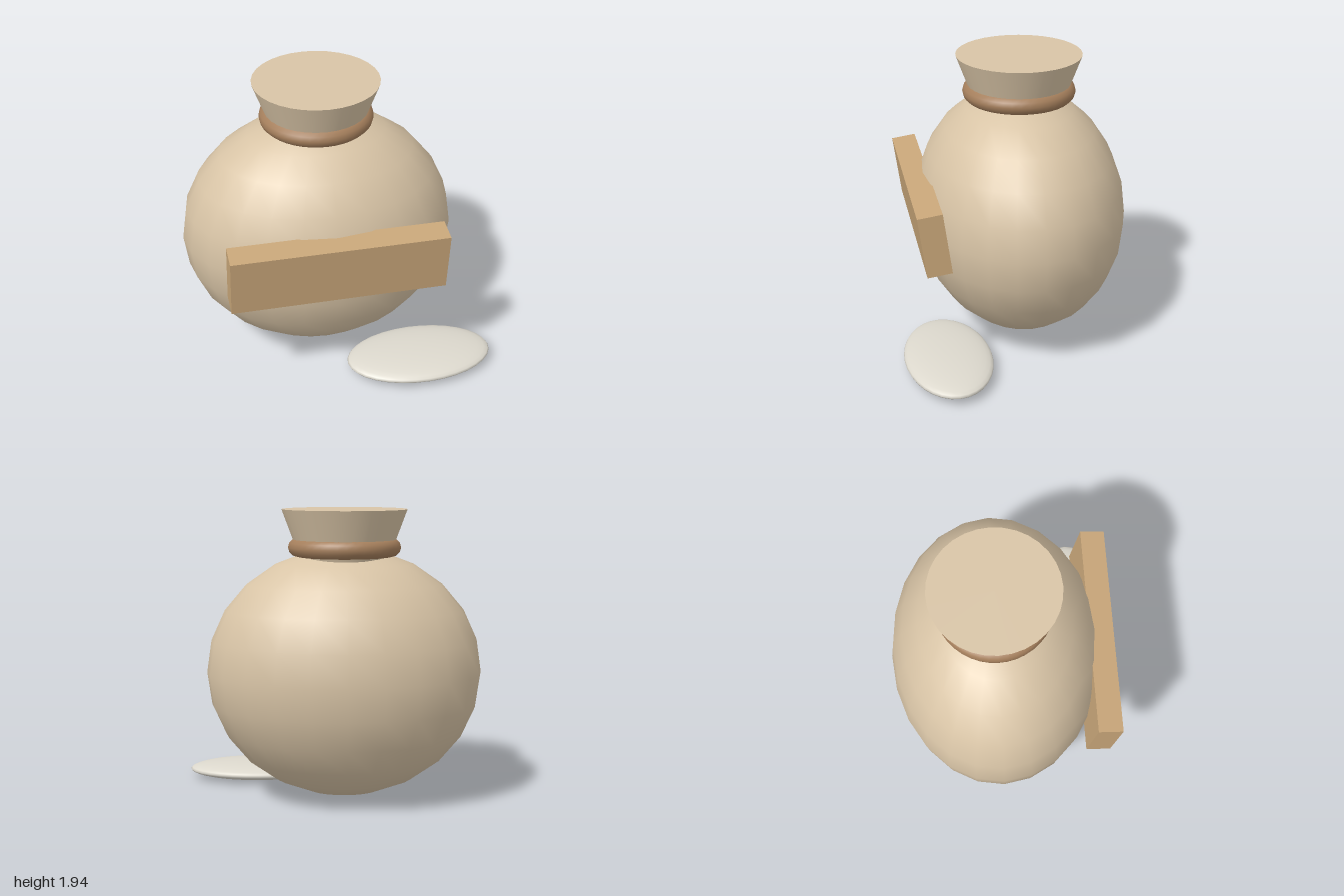
import * as THREE from 'three';

export function createModel() {
  const group = new THREE.Group();

  const material = (name, color) => {
    const m = new THREE.MeshStandardMaterial({ color });
    m.name = name;
    return m;
  };
  const cloth = material('sackCloth', 0xd8c4a6);
  const rope = material('rope', 0xa57f5c);
  const wood = material('wood', 0xc8a679);
  const pale = material('paleStone', 0xdcd8cd);

  const add = (name, geometry, mat, x, y, z) => {
    const mesh = new THREE.Mesh(geometry, mat);
    mesh.name = name;
    mesh.position.set(x, y, z);
    group.add(mesh);
    return mesh;
  };

  // Axis shared by the sack, its neck and its tie
  const cx = -0.085, cz = -0.085;

  // Bulging sack body, flattened front to back
  add('sackBody', new THREE.SphereGeometry(1, 24, 12), cloth, cx, 0.86, cz)
    .scale.set(0.915, 0.832, 0.705);

  // Flared, closed neck above the tie
  add('sackNeck', new THREE.CylinderGeometry(0.415, 0.292, 0.33, 32), cloth, cx, 1.775, cz);

  // Rope tie around the neck
  add('ropeTie', new THREE.TorusGeometry(0.313, 0.06, 12, 40).rotateX(Math.PI / 2), rope, cx, 1.69, cz);

  // Plank across the front, leaning forward at the top
  add('frontPlank', new THREE.BoxGeometry(1.41, 0.415, 0.163), wood, cx, 0.941, 0.587)
    .rotation.x = 0.135;

  // Flat pebble lying by the sack's left foot
  add('flatPebble', new THREE.SphereGeometry(1, 32, 16), pale, 0.5, 0.062, 0.502)
    .scale.set(0.498, 0.062, 0.29);

  return group;
}
